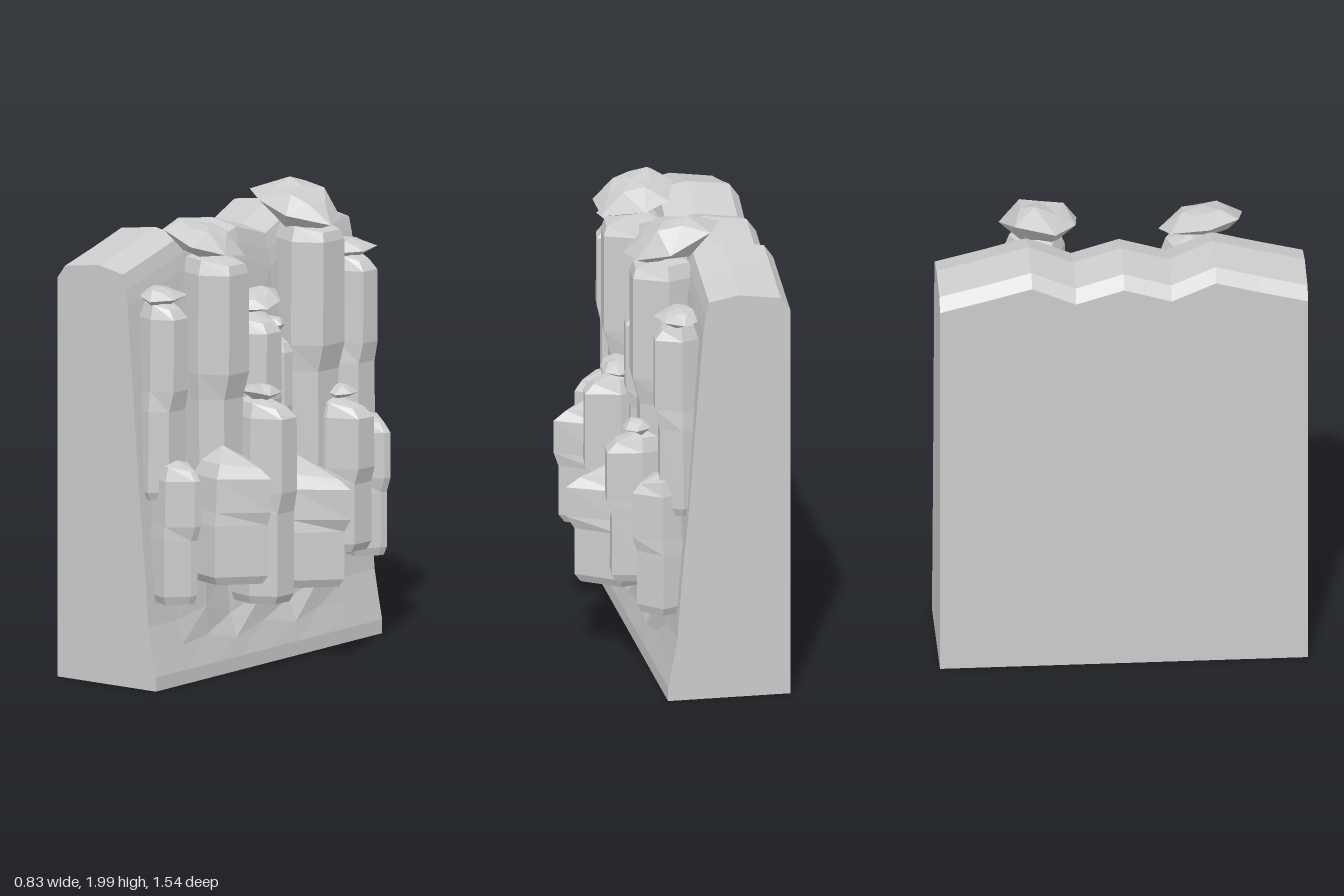
import * as THREE from 'three';

const material = new THREE.MeshStandardMaterial({ color: 0xcccccc, flatShading: true });

// Joins equal-length closed rings of [x, y, z] points (counter-clockwise seen
// from the end they advance to) and caps both ends with a fan
function loft(rings, startTip, endTip) {
  const n = rings[0].length, pos = [], idx = [];
  rings.forEach((r) => r.forEach((p) => pos.push(...p)));
  const s = rings.length * n, e = s + 1, last = s - n;
  pos.push(...startTip, ...endTip);
  for (let j = 0; j < n; j++) {
    const k = (j + 1) % n;
    for (let i = 0; i < last; i += n) {
      idx.push(i + j, i + k, i + n + j, i + k, i + n + k, i + n + j);
    }
    idx.push(s, k, j, e, last + j, last + k);
  }
  const g = new THREE.BufferGeometry();
  g.setAttribute('position', new THREE.Float32BufferAttribute(pos, 3));
  g.setIndex(idx);
  const flat = g.toNonIndexed();
  flat.computeVertexNormals();
  return flat;
}

function addMesh(parent, name, geometry) {
  const m = new THREE.Mesh(geometry, material);
  m.name = name;
  parent.add(m);
  return m;
}

// Cliff slab: one side profile swept along z under a wavy crest
function cliffGeometry() {
  const stations = [[-0.77, 1.78, 0], [-0.57, 1.83, 0], [-0.385, 1.88, 1], [-0.2, 1.8, -1], [0, 1.86, 1],
    [0.2, 1.8, -1], [0.385, 1.88, 1], [0.57, 1.83, 0], [0.77, 1.78, 0]];
  const rings = stations.map(([z, h, w]) => [
    [-0.42, 0, z], [0.1, 0, z], [0.1, 0.06, z],
    [0.08 - w * 0.006, 0.16 + w * 0.02, z], [0.06 + w * 0.01, 0.27 + w * 0.03, z],
    [0.045 + w * 0.015, 0.48 + w * 0.03, z], [0.01 + w * 0.015, 0.85, z], [-0.02 + w * 0.01, 1.25, z],
    [-0.05, h - 0.16, z], [-0.06, h - 0.09, z], [-0.075, h - 0.025, z],
    [-0.2, h, z], [-0.38, h - 0.025, z], [-0.42, h - 0.08, z],
  ]);
  return loft(rings, [-0.2, 0.8, -0.77], [-0.2, 0.8, 0.77]);
}

// Faceted rock column: x0..x1 deep, z centre and half width, y0..y1 tall.
// nose places the front ridge in z and flat widens it to a face; above the middle
// the shaft steps out by push and narrows by jog (widens when negative).
function columnGeometry({ x0, x1, z, w, y0, y1, nose = 0, flat = 0, jog = 0.08, push = 0.02, peak = 0.03 }) {
  const d = x1 - push - x0, h = y1 - y0, cx = x0 + d * 0.5, tip = x0 + d;
  const front = flat ? [[tip - 0.01, nose + flat], [tip, nose - flat]] : [[tip, nose]];
  const outline = [[x0, -0.65], [x0, 0.65], [x0 + d * 0.55, 1], ...front, [x0 + d * 0.5, -1]];
  const levels = [[y0, 0.85, 0], [y0 + 0.035, 1, 0], [y0 + h * 0.44, 1 - jog * 0.3, 0],
    [y0 + h * 0.54, 1 - jog, push], [y1 - 0.06 - peak, 0.95 - jog, push], [y1 - peak, 0.76 - jog, push]];
  const rings = levels.map(([y, s, out], i) => outline.map(([x, t]) => {
    const isFront = x > cx + d * 0.2;
    const sx = isFront && i > 0 && i < 5 ? 1 : s;
    return [cx + (x - cx) * sx + (isFront ? out : 0), y - (isFront && i === 5 ? 0.02 : 0), z + t * w * s];
  }));
  return loft(rings, [cx, y0, z], [cx - d * 0.15, y1, z]);
}

// Ragged flat clump crowning a column; radii rx, rz, half height ry, tilts around z and x
function addClump(parent, { c, rx, ry, rz, tz = 0, tx = 0, seed = 1 }) {
  const noise = (i) => {
    const v = Math.sin(i * 12.99 + seed * 78.23) * 43758.5;
    return v - Math.floor(v);
  };
  const n = 7;
  const rings = [[-0.75, 0.5], [-0.1, 1], [0.65, 0.55]].map(([y, r], k) =>
    Array.from({ length: n }, (_, j) => {
      const a = -(j + k * 0.5 + noise(j + k * 9) * 0.35) / n * Math.PI * 2;
      const q = r * (0.82 + 0.28 * noise(j * 3 + k * 17));
      return [Math.cos(a) * q * rx, (y + (noise(j * 5 + k) - 0.5) * 0.45) * ry, Math.sin(a) * q * rz];
    }));
  const m = addMesh(parent, 'foliageClump', loft(rings, [0, -0.9 * ry, 0], [0, 0.9 * ry, 0]));
  m.position.set(...c);
  m.rotation.set(tx, 0, tz);
}

export function createModel() {
  const group = new THREE.Group();
  group.name = 'rockyCliff';
  addMesh(group, 'cliffWall', cliffGeometry());

  // Tall columns against the wall
  const tall = [
    { x0: -0.07, x1: 0.18, z: 0.3, w: 0.11, y0: 0.69, y1: 1.8, jog: -0.12, flat: 0.5, push: 0.03 },
    { x0: -0.07, x1: 0.18, z: -0.345, w: 0.12, y0: 0.69, y1: 1.84, jog: -0.12, flat: 0.5, push: 0.03 },
    { x0: -0.07, x1: 0.14, z: 0.01, w: 0.125, y0: 0.69, y1: 1.5, flat: 0.4 },
    { x0: -0.06, x1: 0.08, z: -0.165, w: 0.06, y0: 0.69, y1: 1.38, flat: 0.4 },
    { x0: -0.06, x1: 0.08, z: 0.15, w: 0.05, y0: 0.69, y1: 1.27, flat: 0.4 },
  ];
  // Short columns standing forward
  const short = [
    { x0: 0.02, x1: 0.375, z: 0.365, w: 0.14, y0: 0.42, y1: 0.99, nose: -0.2, peak: 0.06 },
    { x0: 0.02, x1: 0.295, z: 0.115, w: 0.1, y0: 0.29, y1: 1.17, nose: -0.1, flat: 0.5 },
    { x0: 0.02, x1: 0.415, z: -0.13, w: 0.145, y0: 0.33, y1: 0.87, nose: -0.15, push: 0.035, peak: 0.06, jog: 0.1 },
    { x0: 0.02, x1: 0.3, z: -0.395, w: 0.095, y0: 0.43, y1: 1.09, nose: -0.2, flat: 0.55 },
  ];
  // Matching pairs near both ends
  for (const z of [0.645, -0.645]) {
    tall.push({ x0: -0.06, x1: 0.14, z, w: 0.1, y0: 0.8, y1: 1.66, jog: 0.14, flat: 0.5 });
    short.push({ x0: 0.02, x1: 0.23, z, w: 0.103, y0: 0.365, y1: 0.98, flat: 0.15 });
  }
  tall.forEach((p) => addMesh(group, 'tallColumn', columnGeometry(p)));
  short.forEach((p) => addMesh(group, 'shortColumn', columnGeometry(p)));

  // Clumps on the column tops
  [
    { c: [0.03, 1.86, 0.36], rx: 0.18, ry: 0.065, rz: 0.2, tz: -0.25, tx: -0.12, seed: 2 },
    { c: [0.01, 1.89, -0.33], rx: 0.22, ry: 0.09, rz: 0.18, tz: -0.32, tx: 0.08, seed: 5 },
    { c: [0.03, 1.54, 0], rx: 0.1, ry: 0.04, rz: 0.13, tx: 0.27, tz: -0.15, seed: 3 },
    { c: [0.03, 1.66, 0.645], rx: 0.1, ry: 0.04, rz: 0.115, seed: 4 },
    { c: [0.03, 1.66, -0.645], rx: 0.1, ry: 0.04, rz: 0.115, seed: 4 },
    { c: [0.14, 1.18, 0.11], rx: 0.09, ry: 0.035, rz: 0.1, tx: -0.12, seed: 6 },
    { c: [0.16, 1.1, -0.41], rx: 0.07, ry: 0.035, rz: 0.065, seed: 7 },
    { c: [0.01, 1.41, -0.15], rx: 0.06, ry: 0.035, rz: 0.055, seed: 8 },
    { c: [0.01, 1.3, 0.14], rx: 0.06, ry: 0.035, rz: 0.045, seed: 9 },
  ].forEach((p) => addClump(group, p));

  return group;
}
